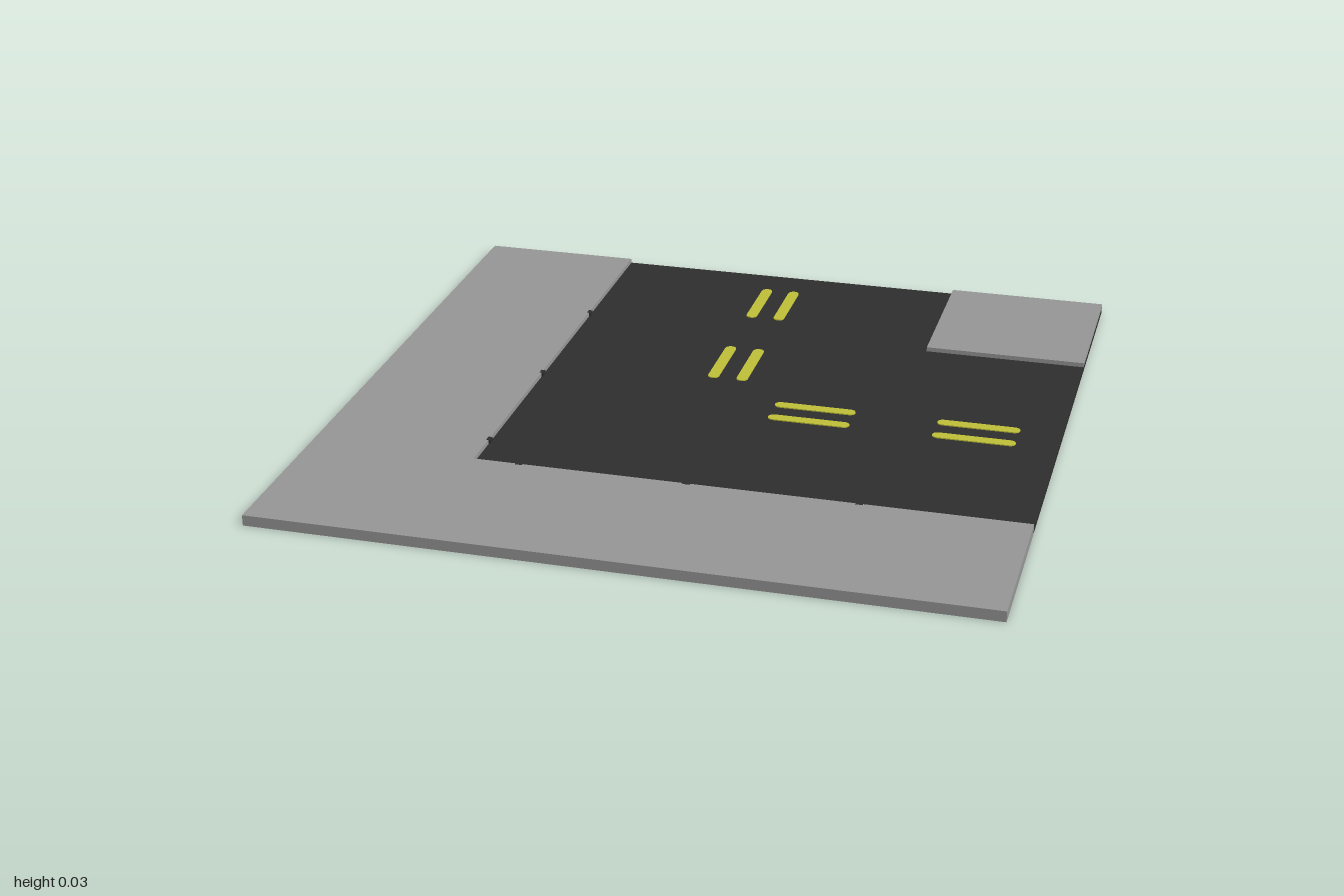
import * as THREE from 'three';

const mat = (name, color) => new THREE.MeshStandardMaterial({ name, color });

// Flat slab extruded upward from a plan outline given as [x, z] points
function slab(name, shape, y, height, material) {
  const geo = new THREE.ExtrudeGeometry(shape, { depth: height, bevelEnabled: false, curveSegments: 4 });
  geo.rotateX(-Math.PI / 2);
  const mesh = new THREE.Mesh(geo, material);
  mesh.name = name;
  mesh.position.y = y;
  return mesh;
}

const outline = (pts) => new THREE.Shape(pts.map(([x, z]) => new THREE.Vector2(x, -z)));

// Round-ended stripe lying along x, centred on the origin
function stripeShape(length, width) {
  const r = width / 2, h = length / 2 - r;
  const s = new THREE.Shape();
  s.moveTo(-h, -r);
  s.lineTo(h, -r);
  s.absarc(h, 0, r, -Math.PI / 2, Math.PI / 2, false);
  s.lineTo(-h, r);
  s.absarc(-h, 0, r, Math.PI / 2, Math.PI * 1.5, false);
  return s;
}

export function createModel() {
  const group = new THREE.Group();
  group.name = 'roadCorner';
  const concrete = mat('concrete', 0x969696);
  const asphalt = mat('asphalt', 0x2e2e2e);
  const paint = mat('yellowPaint', 0xbebe38);
  const E = 0.53, TOP = 0.03, ROAD = 0.017;

  // Outer L-shaped pavement
  group.add(slab('outerPavement', outline([
    [-1, -1], [-1, 1], [1, 1], [1, E], [-E, E], [-E, -1],
  ]), 0, TOP, concrete));

  // Asphalt slab running under the inner corner
  group.add(slab('road', outline([
    [-E, -1], [-E, E], [1, E], [1, -1],
  ]), 0.002, ROAD - 0.002, asphalt));

  // Inner corner pavement resting on the asphalt
  group.add(slab('cornerPavement', outline([
    [E, -1], [E, -E], [1, -E], [1, -1],
  ]), ROAD, TOP - ROAD, concrete));

  // Small dark joints along the outer kerb
  const joint = new THREE.BoxGeometry(0.02, 0.012, 0.012);
  for (const t of [-0.4, 0.07, 0.54]) {
    const front = new THREE.Mesh(joint, asphalt);
    front.position.set(t, TOP - 0.0055, E);
    const side = new THREE.Mesh(joint, asphalt);
    side.position.set(-E, TOP - 0.0055, -t);
    side.rotation.y = Math.PI / 2;
    front.name = side.name = 'kerbJoint';
    group.add(front, side);
  }

  // Double centre lines along both arms of the bend
  const shape = stripeShape(0.235, 0.033);
  for (const along of [0.295, 0.765]) {
    for (const across of [-0.043, 0.043]) {
      const a = slab('laneStripe', shape, ROAD, 0.003, paint);
      a.position.x = along;
      a.position.z = across;
      const b = slab('laneStripe', shape, ROAD, 0.003, paint);
      b.rotation.y = Math.PI / 2;
      b.position.x = across;
      b.position.z = -along;
      group.add(a, b);
    }
  }
  return group;
}
